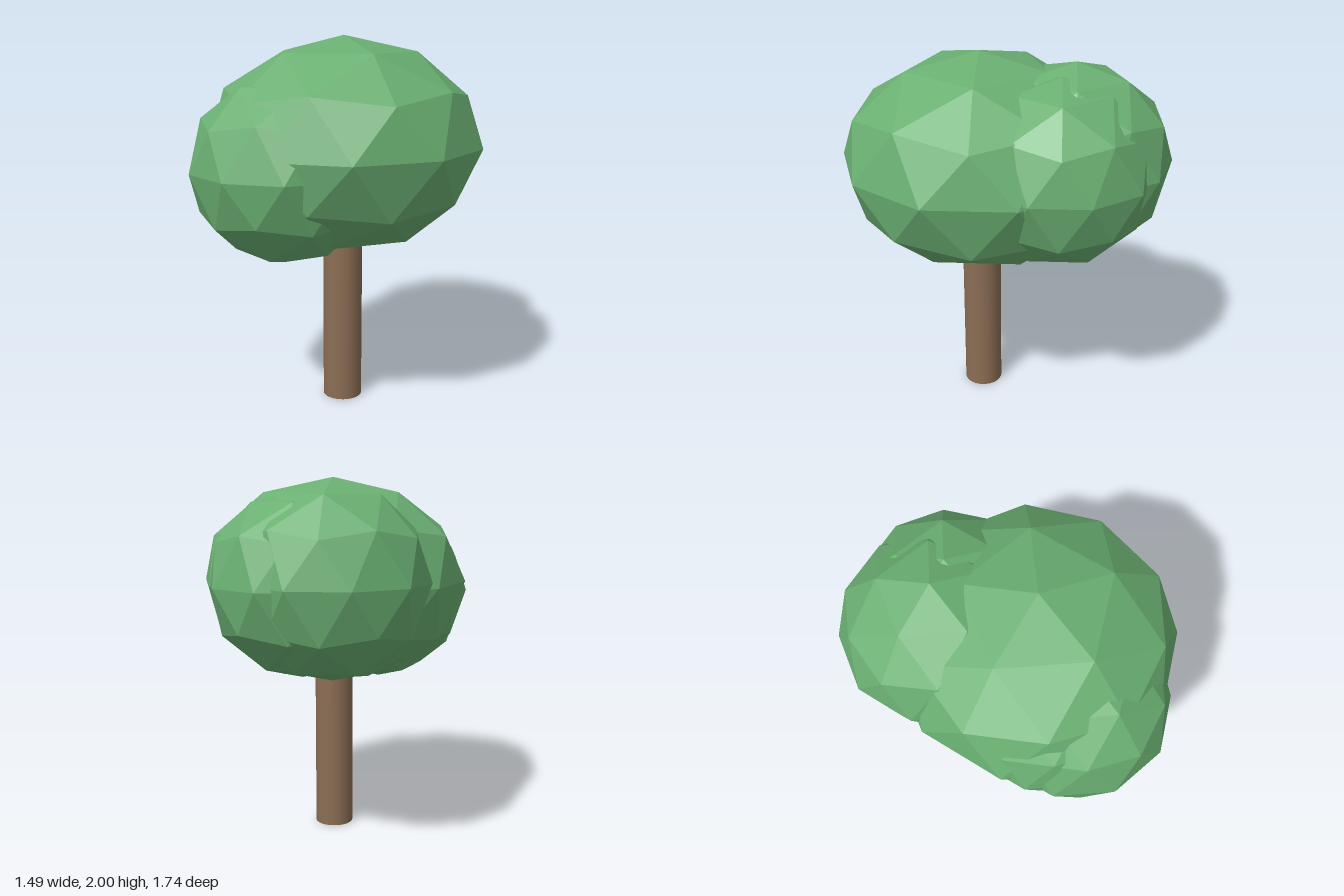
import * as THREE from 'three';

export function createModel() {
  const tree = new THREE.Group();
  tree.name = 'tree';

  const foliage = new THREE.MeshStandardMaterial({ color: 0x6aaf72 });
  foliage.name = 'leafGreen';
  const bark = new THREE.MeshStandardMaterial({ color: 0x8b6d54 });
  bark.name = 'barkBrown';

  // Trunk: plain smooth cylinder running up into the crown
  const trunk = new THREE.Mesh(new THREE.CylinderGeometry(0.107, 0.107, 1.2, 32), bark);
  trunk.name = 'trunk';
  trunk.position.set(0.037, 0.6, 0.13);
  tree.add(trunk);

  // Faceted leaf clump: 80-sided icosphere with a corner straight up
  const tilt = -Math.atan(2 / (1 + Math.sqrt(5)));
  function clump(name, x, y, z, radius, height = radius) {
    const geometry = new THREE.IcosahedronGeometry(1, 1);
    geometry.rotateZ(tilt);
    geometry.scale(radius, height, radius);
    geometry.computeVertexNormals(); // unshared corners give flat facets
    const mesh = new THREE.Mesh(geometry, foliage);
    mesh.name = name;
    mesh.position.set(x, y, z);
    tree.add(mesh);
  }

  // Crown: one broad clump with smaller ones pushed into it
  clump('mainCrown', 0.04, 1.43, 0.13, 0.74, 0.57);
  clump('frontSideClump', -0.27, 1.33, 0.31, 0.5);
  clump('innerSideClump', -0.282, 1.37, 0.155, 0.45);
  clump('backClump', 0.14, 1.465, -0.36, 0.51);
  clump('backSideClump', 0.28, 1.45, -0.29, 0.485);

  return tree;
}
